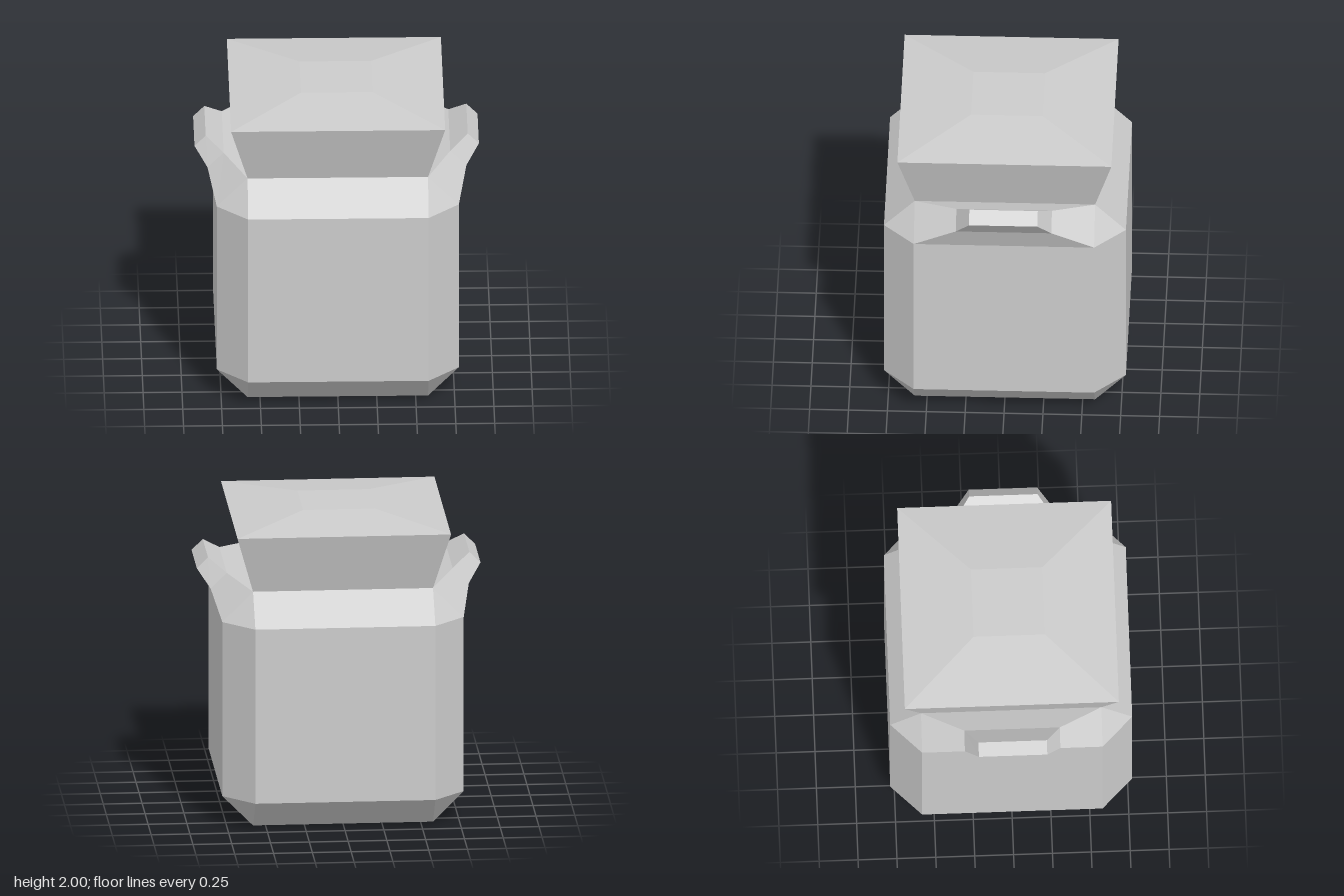
import * as THREE from 'three';

const material = new THREE.MeshStandardMaterial({ color: 0xcccccc, flatShading: true });

// Horizontal ring: a square with half-width b, its corners cut back to a (a = b gives a plain square).
function ring(y, a, b = a) {
  return [[b, a], [b, -a], [a, -b], [-a, -b], [-b, -a], [-b, a], [-a, b], [a, b]].map(([x, z]) => [x, y, z]);
}

// Joins cross-sections with flat faces; sides listed in skip stay open, caps are optional.
function loft(name, rings, { skip = [], capStart = false, capEnd = false } = {}) {
  const positions = [];
  const same = (p, q) => p.every((v, i) => v === q[i]);
  const tri = (p, q, r) => {
    if (!same(p, q) && !same(q, r) && !same(p, r)) positions.push(...p, ...q, ...r);
  };
  for (let k = 0; k < rings.length - 1; k++) {
    const lo = rings[k], hi = rings[k + 1], n = lo.length;
    for (let i = 0; i < n; i++) {
      if (skip.includes(i)) continue;
      const j = (i + 1) % n;
      tri(lo[i], lo[j], hi[j]);
      tri(lo[i], hi[j], hi[i]);
    }
  }
  const first = rings[0], last = rings[rings.length - 1];
  for (let i = 1; i < first.length - 1; i++) {
    if (capStart) tri(first[0], first[i + 1], first[i]);
    if (capEnd) tri(last[0], last[i], last[i + 1]);
  }
  const geometry = new THREE.BufferGeometry();
  geometry.setAttribute('position', new THREE.Float32BufferAttribute(positions, 3));
  geometry.computeVertexNormals();
  const mesh = new THREE.Mesh(geometry, material);
  mesh.name = name;
  return mesh;
}

// Handle section: lower outer edge and upper inner edge, each 2 * z long.
function handleSection(z, outerX, outerY, innerX, innerY) {
  return [[outerX, outerY, z], [outerX, outerY, -z], [innerX, innerY, -z], [innerX, innerY, z]];
}

export function createModel() {
  const model = new THREE.Group();
  model.name = 'jar';

  // Chamfered body on a square base
  model.add(loft('body', [ring(0, 0.58), ring(0.2, 0.58, 0.778), ring(1.362, 0.58, 0.778)], { capStart: true }));

  // Shoulder, open at the two sides where the handles grow out
  model.add(loft('shoulder', [ring(1.362, 0.58, 0.778), ring(1.56, 0.58)], { skip: [0, 4] }));

  // Flared neck and shallow lid
  model.add(loft('neck', [ring(1.56, 0.58), ring(1.945, 0.688)]));
  model.add(loft('lid', [ring(1.945, 0.688), ring(2, 0.23)], { capEnd: true }));

  // Handles tapering out of the left and right shoulders
  for (const [name, angle] of [['leftHandle', 0], ['rightHandle', Math.PI]]) {
    const handle = loft(name, [
      handleSection(0.58, 0.778, 1.362, 0.58, 1.56),
      handleSection(0.307, 0.832, 1.51, 0.728, 1.613),
      handleSection(0.22, 0.914, 1.622, 0.842, 1.694),
    ], { capEnd: true });
    handle.rotation.y = angle;
    model.add(handle);
  }
  return model;
}
